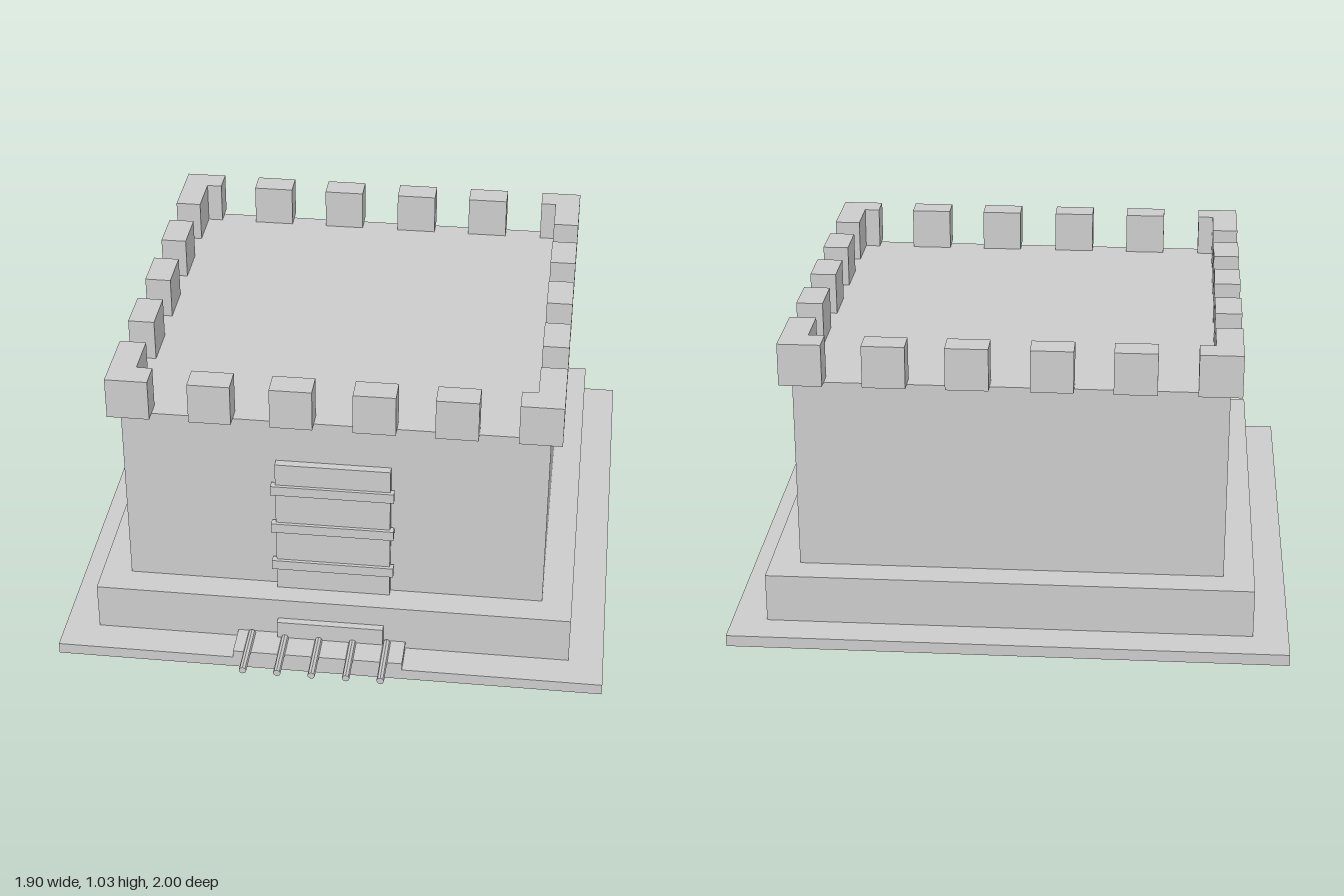
import * as THREE from 'three';

const material = new THREE.MeshStandardMaterial({ color: 0xcccccc, flatShading: true });

function add(parent, name, geometry, x = 0, y = 0, z = 0) {
  const mesh = new THREE.Mesh(geometry, material);
  mesh.name = name;
  mesh.position.set(x, y, z);
  parent.add(mesh);
  return mesh;
}

// Box given by its lower and upper limits on each axis
function addBox(parent, name, [x0, x1], [y0, y1], [z0, z1]) {
  return add(parent, name, new THREE.BoxGeometry(x1 - x0, y1 - y0, z1 - z0),
    (x0 + x1) / 2, (y0 + y1) / 2, (z0 + z1) / 2);
}

export function createModel() {
  const model = new THREE.Group();
  model.name = 'castleKeep';

  // Stepped square body, set back to leave room for the bridge
  const castle = new THREE.Group();
  castle.name = 'castle';
  castle.position.z = -0.05;
  model.add(castle);
  const tiers = [
    ['base', 0.95, 0, 0.04],
    ['plinth', 0.83, 0.04, 0.21],
    ['keep', 0.726, 0.21, 0.885],
  ];
  for (const [name, half, y0, y1] of tiers) {
    addBox(castle, name, [-half, half], [y0, y1], [-half, half]);
  }

  // Battlements overhang the wall
  const battlements = new THREE.Group();
  battlements.name = 'battlements';
  castle.add(battlements);
  const outer = 0.765, inner = 0.674, low = 0.885, high = 1.032;
  for (const s of [-1, 1]) {
    const across = s > 0 ? [inner, outer] : [-outer, -inner];
    for (const x of [-0.415, -0.14, 0.14, 0.415]) {
      addBox(battlements, 'merlon', [x - 0.072, x + 0.072], [low, high], across);
    }
    for (const z of [-0.297, 0, 0.297]) {
      addBox(battlements, 'sideMerlon', across, [low, high], [z - 0.08, z + 0.08]);
    }
    // L-shaped corner merlons
    for (const t of [-1, 1]) {
      const outline = [[outer, outer], [0.62, outer], [0.62, inner], [inner, inner], [inner, 0.513], [outer, 0.513]];
      const shape = new THREE.Shape(outline.map(([x, z]) => new THREE.Vector2(s * x, t * z)));
      const corner = new THREE.ExtrudeGeometry(shape, { depth: high - low, bevelEnabled: false });
      corner.rotateX(-Math.PI / 2);
      add(battlements, 'cornerMerlon', corner, 0, low, 0);
    }
  }

  // Gate with three cross bands
  const gate = new THREE.Group();
  gate.name = 'gate';
  model.add(gate);
  addBox(gate, 'gatePanel', [-0.2, 0.195], [0.21, 0.728], [0.67, 0.705]);
  for (const y of [0.315, 0.472, 0.628]) {
    addBox(gate, 'gateBand', [-0.215, 0.208], [y - 0.018, y + 0.018], [0.69, 0.717]);
  }

  // Bridge deck with projecting logs and a threshold board
  const bridge = new THREE.Group();
  bridge.name = 'bridge';
  model.add(bridge);
  addBox(bridge, 'bridgeDeck', [-0.33, 0.26], [0.04, 0.067], [0.78, 0.9]);
  addBox(bridge, 'thresholdBoard', [-0.188, 0.183], [0.067, 0.132], [0.78, 0.806]);
  const log = new THREE.CylinderGeometry(0.013, 0.013, 0.21, 8);
  log.rotateX(Math.PI / 2);
  for (let i = 0; i < 5; i++) {
    add(bridge, 'bridgeLog', log, -0.28 + i * 0.119, 0.067, 0.895);
  }

  return model;
}
